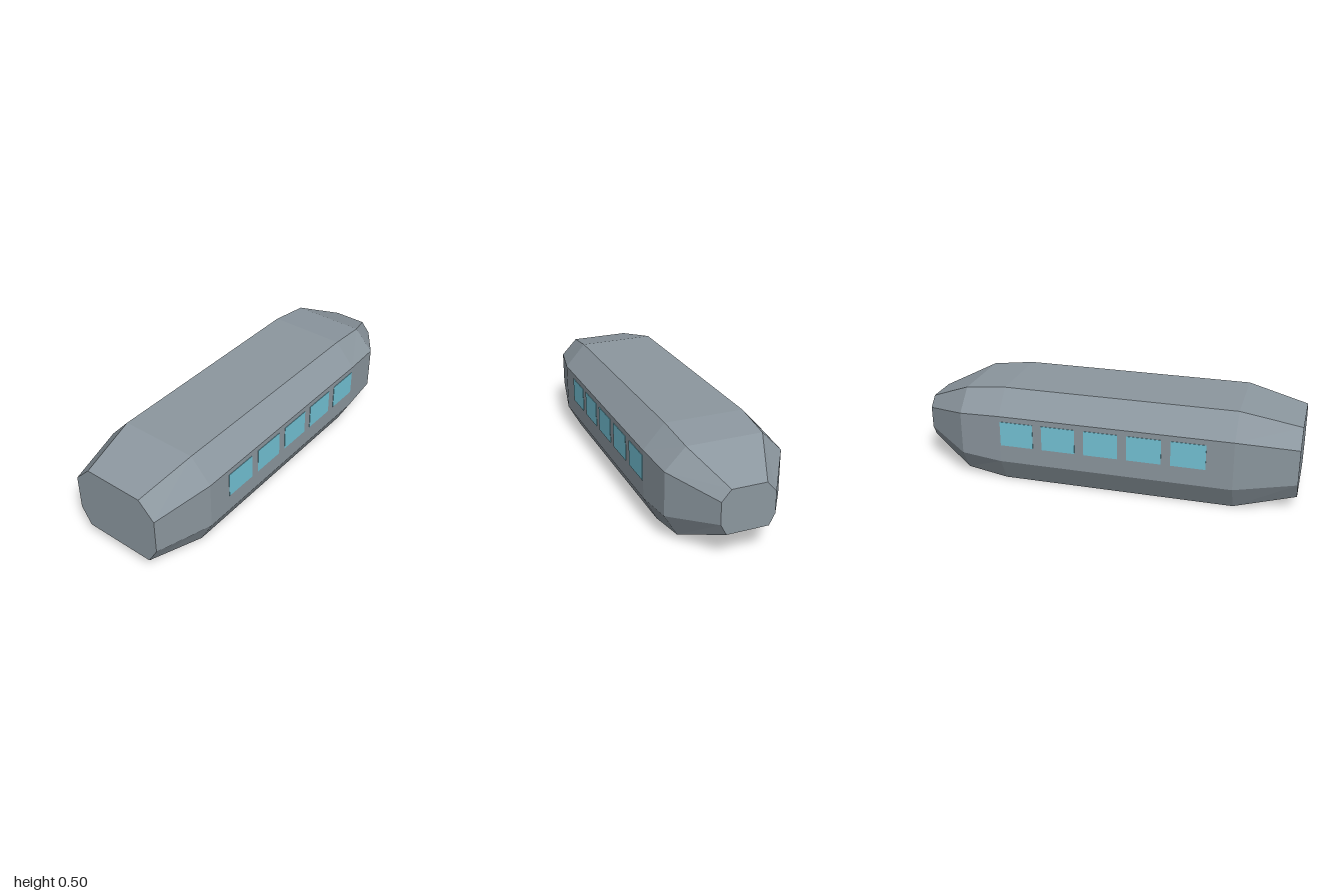
import * as THREE from 'three';

const hullGrey = new THREE.MeshStandardMaterial({ color: 0x8c979f, flatShading: true });
hullGrey.name = 'hullGrey';
const windowBlue = new THREE.MeshStandardMaterial({ color: 0x74c3d6 });
windowBlue.name = 'windowBlue';

// Full cross-section, counter-clockwise seen from the front
const section = [
  [0.245, 0], [0.313, 0.126], [0.313, 0.381], [0.203, 0.502],
  [-0.203, 0.502], [-0.313, 0.381], [-0.313, 0.126], [-0.245, 0],
];

// Stations from front to back: z, width scale, height scale, lift
const stations = [
  [1, 0.783, 0.724, 0.07],
  [0.69, 1, 1, 0],
  [-0.53, 1, 1, 0],
  [-0.75, 0.95, 0.89, 0.03],
  [-1, 0.433, 0.444, 0.14],
];

function hullGeometry() {
  const n = section.length;
  const positions = [];
  const rings = stations.map(([z, sx, sy, lift]) =>
    section.map(([x, y]) => [x * sx, y * sy + lift, z]));
  const triangle = (a, b, c) => positions.push(...a, ...b, ...c);

  // Sides between neighbouring stations
  for (let s = 0; s < rings.length - 1; s++) {
    const a = rings[s], b = rings[s + 1];
    for (let i = 0; i < n; i++) {
      const j = (i + 1) % n;
      triangle(a[i], b[i], b[j]);
      triangle(a[i], b[j], a[j]);
    }
  }
  // Flat end caps
  const front = rings[0], back = rings[rings.length - 1];
  for (let i = 1; i < n - 1; i++) {
    triangle(front[0], front[i], front[i + 1]);
    triangle(back[0], back[i + 1], back[i]);
  }
  const geometry = new THREE.BufferGeometry();
  geometry.setAttribute('position', new THREE.Float32BufferAttribute(positions, 3));
  geometry.computeVertexNormals();
  return geometry;
}

export function createModel() {
  const model = new THREE.Group();
  model.name = 'cabin';

  const hull = new THREE.Mesh(hullGeometry(), hullGrey);
  hull.name = 'hull';
  model.add(hull);

  // Five thin window panes on each side
  const pane = new THREE.BoxGeometry(0.006, 0.132, 0.177);
  for (const side of [1, -1]) {
    const row = new THREE.Group();
    row.name = side > 0 ? 'leftWindows' : 'rightWindows';
    for (let i = 0; i < 5; i++) {
      const mesh = new THREE.Mesh(pane, windowBlue);
      mesh.name = 'window' + (i + 1);
      mesh.position.set(side * 0.3125, 0.286, 0.465 - i * 0.225);
      row.add(mesh);
    }
    model.add(row);
  }
  return model;
}
